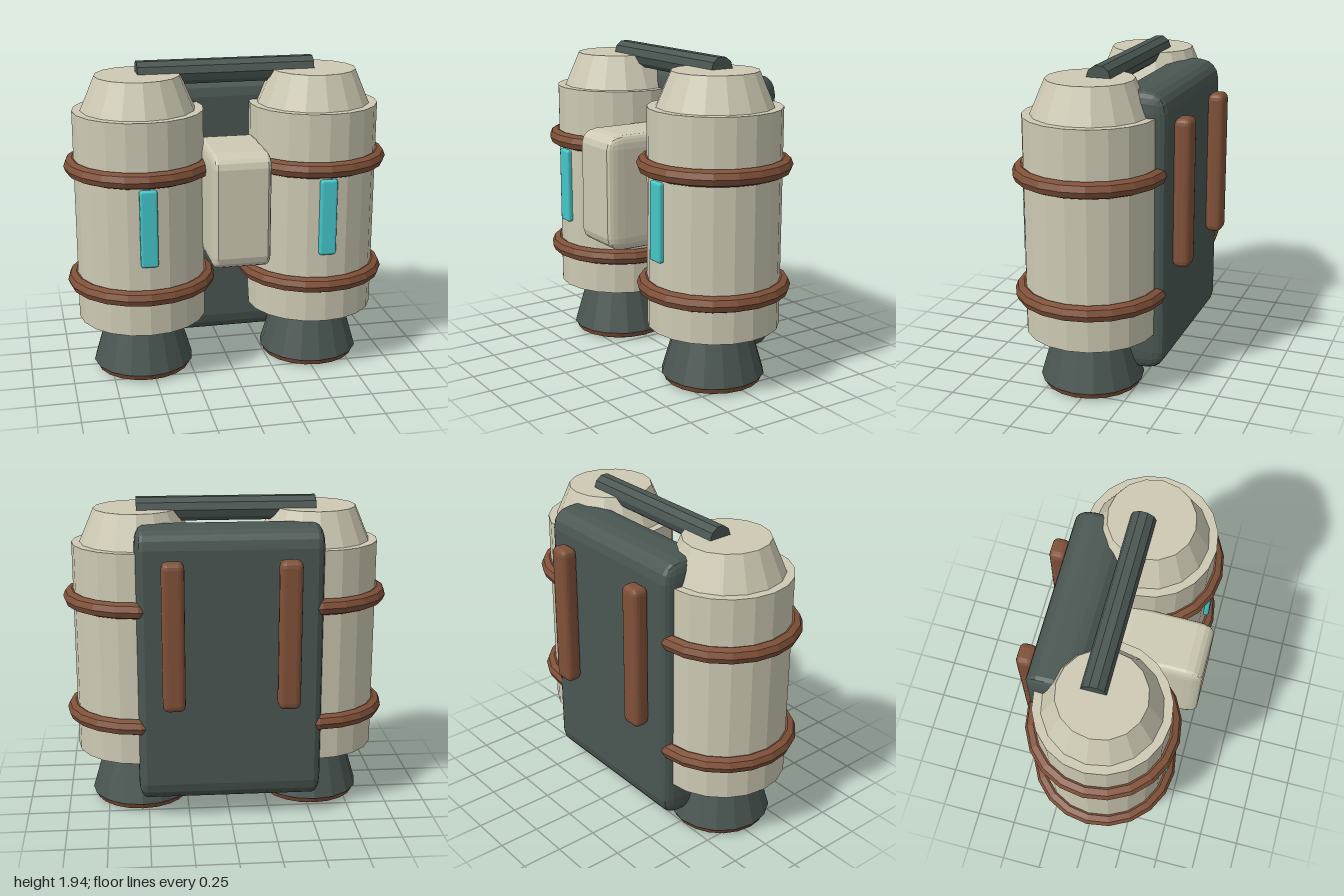
import * as THREE from 'three';
import { RoundedBoxGeometry } from 'three/addons/geometries/RoundedBoxGeometry.js';

const paint = (color) => new THREE.MeshStandardMaterial({ color, flatShading: true });
const cream = paint(0xcdc9b3);
const dark = paint(0x4a5652);
const brown = paint(0x7f5038);
const cyan = paint(0x45c8cb);

function add(parent, name, geometry, material, x = 0, y = 0, z = 0) {
  const mesh = new THREE.Mesh(geometry, material);
  mesh.name = name;
  mesh.position.set(x, y, z);
  parent.add(mesh);
  return mesh;
}

// Box with a two-step bevel of its own width on each axis
function bevelBox(size, bevel) {
  const geometry = new RoundedBoxGeometry(2, 2, 2, 2, 0.5);
  const pos = geometry.attributes.position;
  const fit = (v, s, b) => Math.sign(v) * (s / 2 - b + (Math.abs(v) - 0.5) * 2 * b);
  for (let i = 0; i < pos.count; i++) {
    pos.setXYZ(i,
      fit(pos.getX(i), size[0], bevel[0]),
      fit(pos.getY(i), size[1], bevel[1]),
      fit(pos.getZ(i), size[2], bevel[2]));
  }
  geometry.computeVertexNormals();
  return geometry;
}

// Flat-lying ring
function ring(radius, tube) {
  return new THREE.TorusGeometry(radius, tube, 8, 20).rotateX(Math.PI / 2);
}

// One fuel tank with its nozzle, bands and light
function createTank(name, x) {
  const tank = new THREE.Group();
  tank.name = name;
  tank.position.set(x, 0, 0.03);
  add(tank, 'tankBody', new THREE.CylinderGeometry(0.394, 0.394, 1.305, 20), cream, 0, 1.0125);
  add(tank, 'tankCap', new THREE.CylinderGeometry(0.257, 0.345, 0.205, 16), cream, 0, 1.7675);
  add(tank, 'nozzle', new THREE.CylinderGeometry(0.215, 0.312, 0.33, 16), dark, 0, 0.215);
  add(tank, 'nozzleRim', ring(0.255, 0.05), brown, 0, 0.05);
  for (const y of [0.605, 1.33]) add(tank, 'tankBand', ring(0.406, 0.05), brown, 0, y);
  add(tank, 'lightStrip', bevelBox([0.104, 0.47, 0.07], [0.014, 0.014, 0.014]), cyan, 0, 1.035, 0.382);
  return tank;
}

export function createModel() {
  const model = new THREE.Group();
  model.name = 'jetpack';

  // Tanks on both sides
  model.add(createTank('leftTank', 0.541), createTank('rightTank', -0.541));

  // Back plate and its two straps
  add(model, 'backPlate', bevelBox([1.12, 1.69, 0.35], [0.05, 0.12, 0.12]), dark, 0, 0.967, -0.247);
  for (const side of [1, -1]) {
    add(model, 'shoulderStrap', bevelBox([0.135, 0.9, 0.105], [0.035, 0.04, 0.035]), brown, side * 0.342, 1.19, -0.472);
  }

  // Control box between the tanks
  add(model, 'controlBox', bevelBox([0.36, 0.7, 0.58], [0.032, 0.08, 0.1]), cream, 0, 1.12, 0.233);

  // Handle bar across the tank tops
  add(model, 'handleBar', new THREE.CylinderGeometry(0.075, 0.075, 1.08, 10).rotateZ(Math.PI / 2), dark, 0, 1.867, -0.018);

  return model;
}
